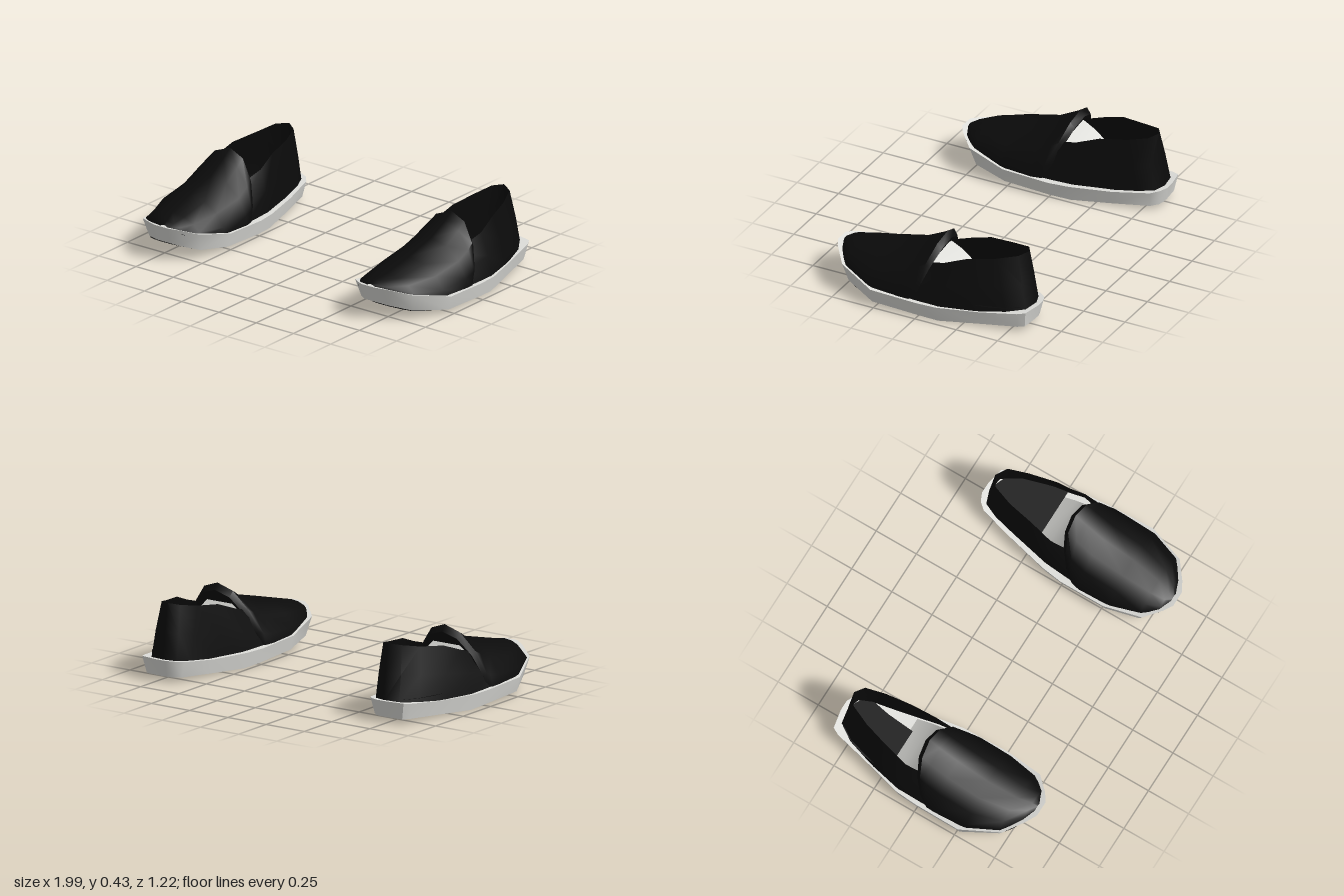
import * as THREE from 'three';
import { toCreasedNormals } from 'three/addons/utils/BufferGeometryUtils.js';

const black = new THREE.MeshStandardMaterial({ color: 0x0b0b0b, side: THREE.DoubleSide });
black.name = 'black fabric';
const offWhite = new THREE.MeshStandardMaterial({ color: 0xdededa, side: THREE.DoubleSide });
offWhite.name = 'off-white rubber';

// Sole stations, toe to heel: top z, inner x, outer x, top y, bottom z, bottom y
const SOLE = [
  [0.605, 0.65, 0.74, 0.195, 0.575, 0.10],
  [0.57, 0.60, 0.80, 0.185, 0.535, 0.08],
  [0.49, 0.52, 0.905, 0.155, 0.46, 0.053],
  [0.27, 0.483, 0.997, 0.102, 0.27, 0.022],
  [0.0, 0.487, 0.99, 0.09, 0.0, 0.008],
  [-0.12, 0.505, 0.98, 0.088, -0.12, 0],
  [-0.35, 0.56, 0.92, 0.092, -0.35, 0.012],
  [-0.55, 0.61, 0.875, 0.112, -0.54, 0.023],
  [-0.59, 0.645, 0.855, 0.118, -0.575, 0.025],
  [-0.61, 0.69, 0.75, 0.12, -0.585, 0.026],
];

// Linear lookup of one sole column by z
function soleAt(z, zCol, col) {
  for (let i = 0; i < SOLE.length - 1; i++) {
    const a = SOLE[i], b = SOLE[i + 1];
    if (z >= b[zCol]) {
      const t = Math.min(1, (a[zCol] - z) / (a[zCol] - b[zCol]));
      return a[col] + (b[col] - a[col]) * t;
    }
  }
  return SOLE[SOLE.length - 1][col];
}

// Skin a list of cross-sections; side = -1 mirrors in x
function loft(sections, side, { closed = false, crease = 0.7 } = {}) {
  const n = sections[0].length, index = [];
  const tri = (a, b, c) => (side > 0 ? index.push(a, b, c) : index.push(a, c, b));
  for (let i = 0; i < sections.length - 1; i++) {
    for (let j = 0; j < (closed ? n : n - 1); j++) {
      const a = i * n + j, b = i * n + (j + 1) % n;
      tri(a, a + n, b);
      tri(b, a + n, b + n);
    }
  }
  if (closed) {
    const last = (sections.length - 1) * n;
    for (let j = 1; j < n - 1; j++) {
      tri(0, j, j + 1);
      tri(last, last + j + 1, last + j);
    }
  }
  const g = new THREE.BufferGeometry();
  const pos = sections.flat().flatMap(([x, y, z]) => [x * side, y, z]);
  g.setAttribute('position', new THREE.Float32BufferAttribute(pos, 3));
  g.setIndex(index);
  return toCreasedNormals(g, crease);
}

function soleSections() {
  return SOLE.map(([zt, xi, xo, yt, zb, yb]) => {
    const inset = Math.min(0.02, (xo - xi) * 0.15);
    return [[xi, yt, zt], [xi + inset, yb, zb], [xo - inset, yb, zb], [xo, yt, zt]];
  });
}

// Oval tread patch that follows the underside
function treadSections(cx, cz, rx, rz, power) {
  const out = [];
  for (let i = 0; i <= 24; i++) {
    const a = (i / 24) * Math.PI, z = cz + rz * Math.cos(a);
    const w = rx * Math.pow(Math.max(0, Math.sin(a)), power);
    const y = soleAt(z, 4, 5) - 0.004;
    out.push([[cx - w, y, z], [cx + w, y, z]]);
  }
  return out;
}

// Arched vamp: z, inner x, outer x, base y, top y, forward sweep of the sides
function vampSections() {
  const half = [[1, 0], [0.97, 0.25], [0.76, 0.62], [0.42, 0.9]];
  const arch = [...half, [0, 1], ...half.map(([u, v]) => [-u, v]).reverse()];
  return [
    [0.58, 0.66, 0.73, 0.165, 0.197, 0],
    [0.55, 0.59, 0.805, 0.155, 0.21, 0],
    [0.47, 0.535, 0.905, 0.13, 0.23, 0],
    [0.3, 0.5, 0.972, 0.095, 0.275, 0],
    [0.11, 0.497, 0.978, 0.085, 0.325, 0],
    [0.0, 0.51, 0.975, 0.082, 0.385, 0.06],
    [-0.06, 0.52, 0.967, 0.082, 0.425, 0.11],
    [-0.085, 0.535, 0.955, 0.082, 0.39, 0.12],
    [-0.07, 0.55, 0.94, 0.082, 0.36, 0.12],
  ].map(([z, xi, xo, y0, y1, sweep]) => arch.map(([u, v]) =>
    [(xi + xo) / 2 + u * (xo - xi) / 2, y0 + v * (y1 - y0), z + sweep * (1 - v)]));
}

// Quarter wall around the heel: base x, base z, collar x, y, z
function quarterSections() {
  return [
    [0.515, 0.1, 0.615, 0.255, 0.1],
    [0.535, -0.12, 0.585, 0.32, -0.12],
    [0.575, -0.3, 0.605, 0.368, -0.25],
    [0.615, -0.48, 0.63, 0.388, -0.4],
    [0.65, -0.56, 0.665, 0.41, -0.51],
    [0.72, -0.585, 0.72, 0.42, -0.545],
    [0.81, -0.57, 0.785, 0.412, -0.51],
    [0.87, -0.48, 0.83, 0.388, -0.4],
    [0.925, -0.3, 0.872, 0.368, -0.25],
    [0.965, -0.12, 0.895, 0.32, -0.12],
    [0.97, 0.1, 0.865, 0.255, 0.1],
  ].map(([bx, bz, cx, cy, cz]) => {
    const by = soleAt(bz, 0, 3) - 0.01;
    const mid = [bx + (cx - bx) * 0.3, (by + cy) / 2, (bz + cz) / 2];
    return [[cx, cy, cz], mid, [bx, by, bz]];
  });
}

function createShoe(side) {
  const shoe = new THREE.Group();
  const add = (name, sections, material, options) => {
    const mesh = new THREE.Mesh(loft(sections, side, options), material);
    mesh.name = name;
    shoe.add(mesh);
  };
  add('sole', soleSections(), offWhite, { closed: true });
  add('frontTread', treadSections(0.735, 0.275, 0.2, 0.265, 1), black);
  add('heelTread', treadSections(0.75, -0.355, 0.12, 0.18, 0.8), black);
  add('vamp', vampSections(), black, { crease: 1.0 });
  add('quarter', quarterSections(), black, { crease: 1.0 });

  // Lining rises from the footbed to the underside of the vamp
  add('lining', [
    [0.64, 0.84, 0.31, -0.02],
    [0.59, 0.885, 0.24, -0.07],
    [0.575, 0.9, 0.16, -0.15],
    [0.575, 0.9, 0.1, -0.24],
  ].map(([a, b, y, z]) => [[a, y, z], [b, y, z]]), offWhite, { crease: 1.0 });

  // Dark heel pad, set off from the inner edge of the footbed
  add('heelPad', [
    [0.655, 0.93, -0.22],
    [0.64, 0.905, -0.38],
    [0.62, 0.87, -0.48],
    [0.65, 0.82, -0.55],
    [0.7, 0.76, -0.575],
  ].map(([a, b, z]) => [[a, 0.125, z], [b, 0.125, z]]), black);
  return shoe;
}

export function createModel() {
  const model = new THREE.Group();
  model.name = 'slipOnShoes';
  for (const [name, side] of [['leftShoe', 1], ['rightShoe', -1]]) {
    const shoe = createShoe(side);
    shoe.name = name;
    model.add(shoe);
  }
  return model;
}
